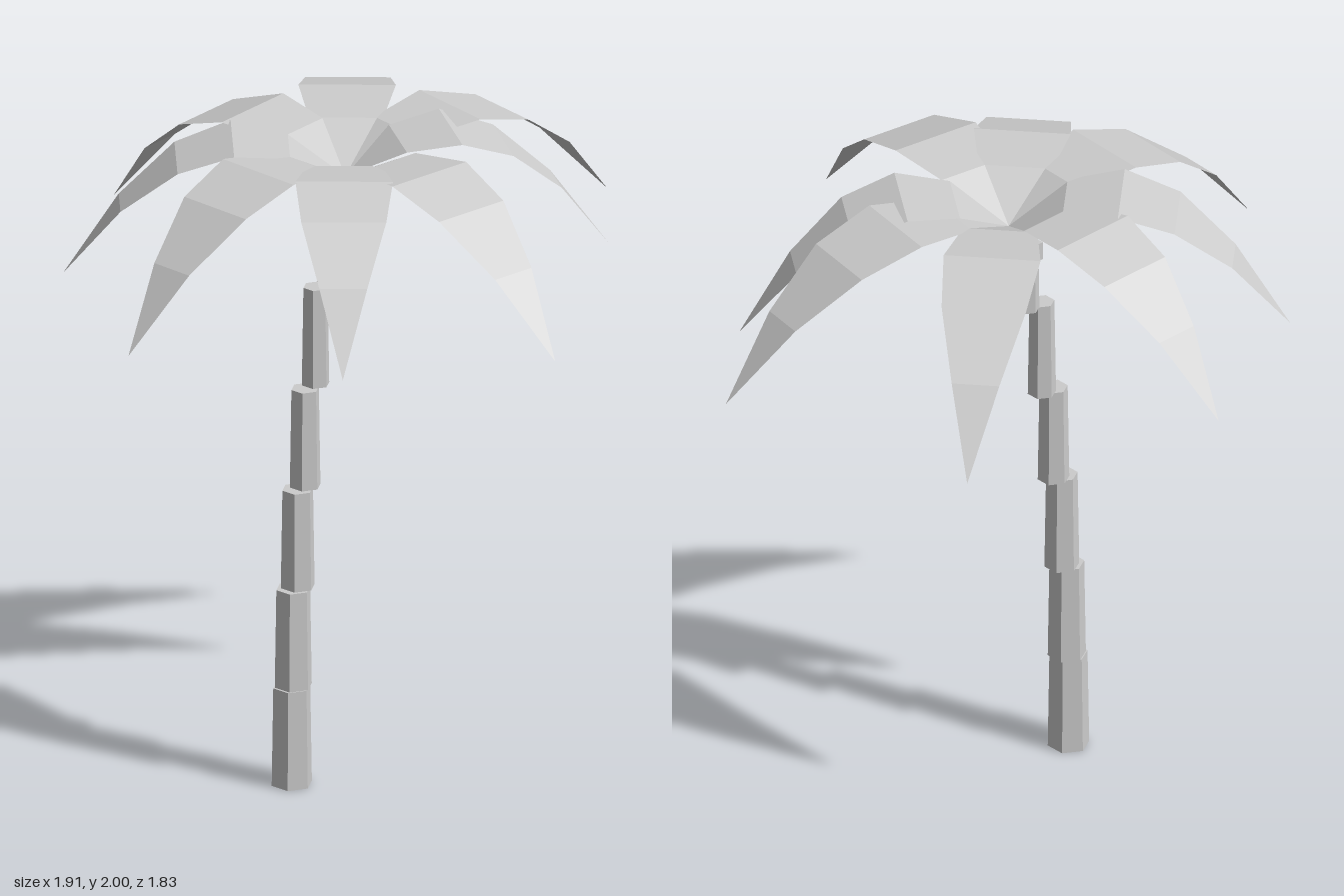
import * as THREE from 'three';

const SEG_H = 0.3125;
const CROWN = new THREE.Vector3(-0.027, 1.875, -0.03);

// Flat drooping leaf: arching spine from the crown to a pointed tip
function frondGeometry(tipX, tipZ) {
  const dx = tipX - CROWN.x, dz = tipZ - CROWN.z;
  const len = Math.hypot(dx, dz);
  const sx = dz / len, sz = -dx / len; // horizontal sideways direction
  const steps = 5, pos = [], index = [];
  for (let i = 0; i <= steps; i++) {
    const t = i / steps;
    const half = 0.145 * Math.sin(Math.PI * Math.pow(t, 0.8));
    const y = CROWN.y + 0.72 * t - 1.018 * t * t;
    for (const s of [-1, 1]) {
      pos.push(CROWN.x + dx * t + sx * half * s, y, CROWN.z + dz * t + sz * half * s);
    }
    if (i < steps) {
      const a = i * 2;
      if (i > 0) index.push(a, a + 3, a + 1);
      if (i < steps - 1) index.push(a, a + 2, a + 3);
      if (i === 0) continue;
      if (i === steps - 1) continue;
    }
  }
  const geo = new THREE.BufferGeometry();
  geo.setAttribute('position', new THREE.Float32BufferAttribute(pos, 3));
  geo.setIndex(index);
  const flat = geo.toNonIndexed();
  flat.computeVertexNormals();
  return flat;
}

export function createModel() {
  const group = new THREE.Group();
  const grey = new THREE.MeshStandardMaterial({ color: 0xcccccc, flatShading: true, side: THREE.DoubleSide });
  grey.name = 'lightGrey';

  const add = (parent, geo, name) => {
    const mesh = new THREE.Mesh(geo, grey);
    mesh.name = name;
    parent.add(mesh);
    return mesh;
  };

  // Trunk: stacked six-sided segments stepping sideways along a curve
  const trunk = new THREE.Group();
  trunk.name = 'trunk';
  const radius = (y) => 0.063 - 0.016 * y;
  for (let i = 0; i < 6; i++) {
    const y0 = i * SEG_H, y1 = y0 + SEG_H;
    const seg = add(trunk, new THREE.CylinderGeometry(radius(y1), radius(y0), SEG_H, 6), 'trunkSegment');
    seg.position.set(-0.268 + 0.0067 * i * i, (y0 + y1) / 2, CROWN.z);
  }
  group.add(trunk);

  // Three cube-shaped nuts hanging under the crown
  const nuts = new THREE.Group();
  nuts.name = 'nuts';
  for (let i = 0; i < 3; i++) {
    const a = (i * Math.PI * 2) / 3;
    const nut = add(nuts, new THREE.BoxGeometry(0.063, 0.058, 0.063), 'nut');
    nut.position.set(CROWN.x + 0.06 * Math.cos(a), 1.802, CROWN.z + 0.06 * Math.sin(a));
  }
  group.add(nuts);

  // Crown of eight fronds, given by their tips
  const fronds = new THREE.Group();
  fronds.name = 'fronds';
  const tips = [
    [0.953, 0.145], [0.635, 0.43], [-0.157, 0.91], [-0.68, 0.53],
    [-0.957, -0.072], [-0.6, -0.64], [-0.055, -0.918], [0.742, -0.682],
  ];
  for (const [x, z] of tips) add(fronds, frondGeometry(x, z), 'frond');
  group.add(fronds);

  return group;
}
